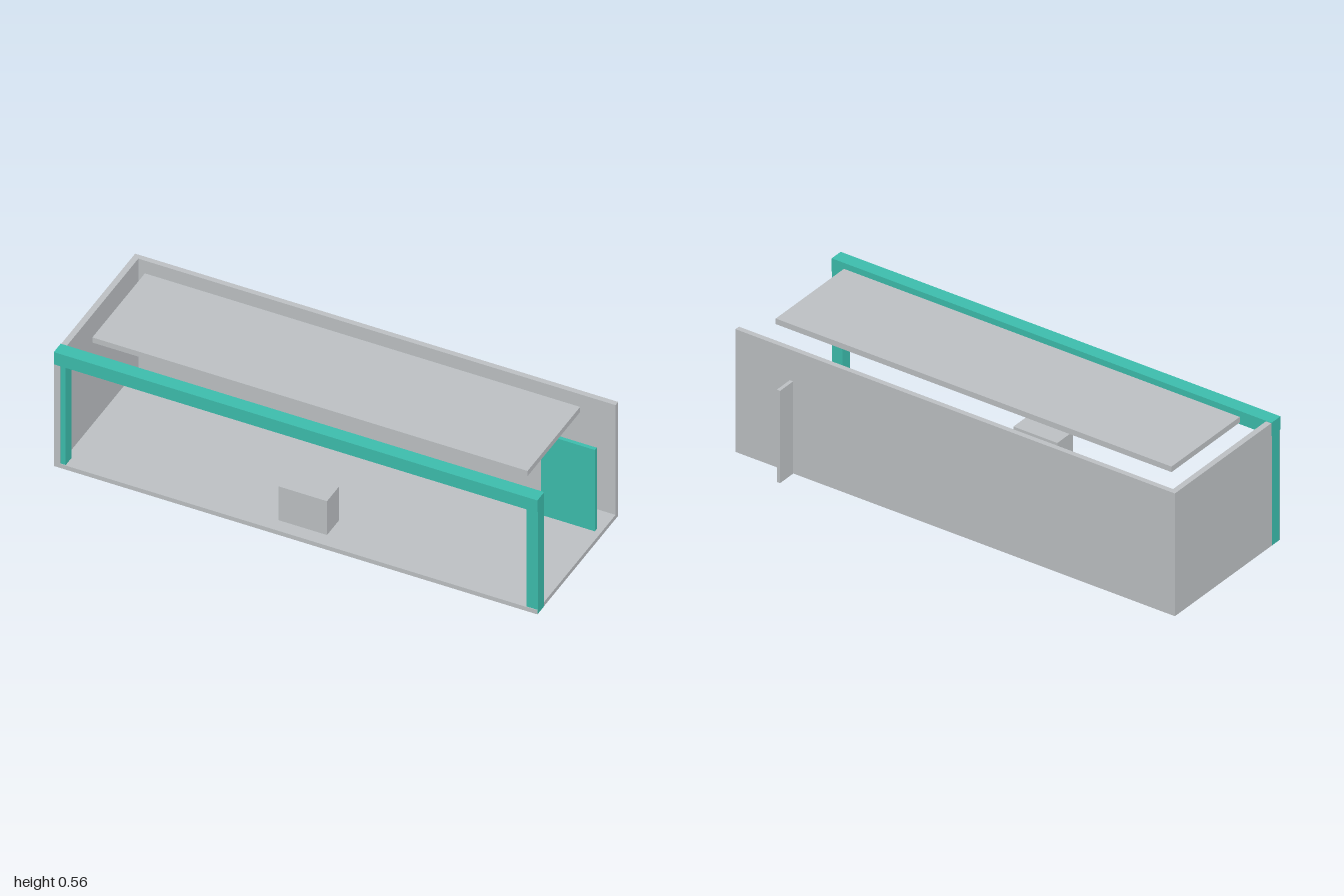
import * as THREE from 'three';

export function createModel() {
  const model = new THREE.Group();
  model.name = 'openBooth';

  const grey = new THREE.MeshStandardMaterial({ color: 0xbcc0c3 });
  grey.name = 'pale grey';
  const teal = new THREE.MeshStandardMaterial({ color: 0x3cbcac });
  teal.name = 'teal';

  // Box given by its [min, max] extent along each axis
  function slab(name, material, [x0, x1], [y0, y1], [z0, z1]) {
    const mesh = new THREE.Mesh(new THREE.BoxGeometry(x1 - x0, y1 - y0, z1 - z0), material);
    mesh.position.set((x0 + x1) / 2, (y0 + y1) / 2, (z0 + z1) / 2);
    mesh.name = name;
    model.add(mesh);
  }

  // Shell: floor, back wall and one side wall; the +x side stays open
  slab('floor', grey, [-0.999, 0.999], [0.001, 0.02], [-0.292, 0.375]);
  slab('backWall', grey, [-0.999, 0.999], [0.001, 0.533], [-0.292, -0.27]);
  slab('sideWall', grey, [-0.999, -0.975], [0.02, 0.533], [-0.27, 0.375]);

  // Floating roof panel
  slab('roofPanel', grey, [-0.9, 0.9], [0.532, 0.556], [-0.175, 0.258]);

  // Front portal frame
  slab('headerBeam', teal, [-1, 1], [0.478, 0.535], [0.32, 0.377]);
  slab('rightPost', teal, [-1, -0.953], [0.002, 0.478], [0.323, 0.372]);
  slab('leftPost', teal, [0.953, 1], [0.002, 0.478], [0.323, 0.372]);

  // Counter near the front
  slab('counter', grey, [-0.1, 0.1], [0.02, 0.178], [0.217, 0.317]);

  // Upright partition through the back wall, and the door beside it
  slab('partition', grey, [0.737, 0.752], [0, 0.4], [-0.375, -0.15]);
  slab('door', teal, [0.752, 0.975], [0, 0.4], [-0.163, -0.147]);

  return model;
}
